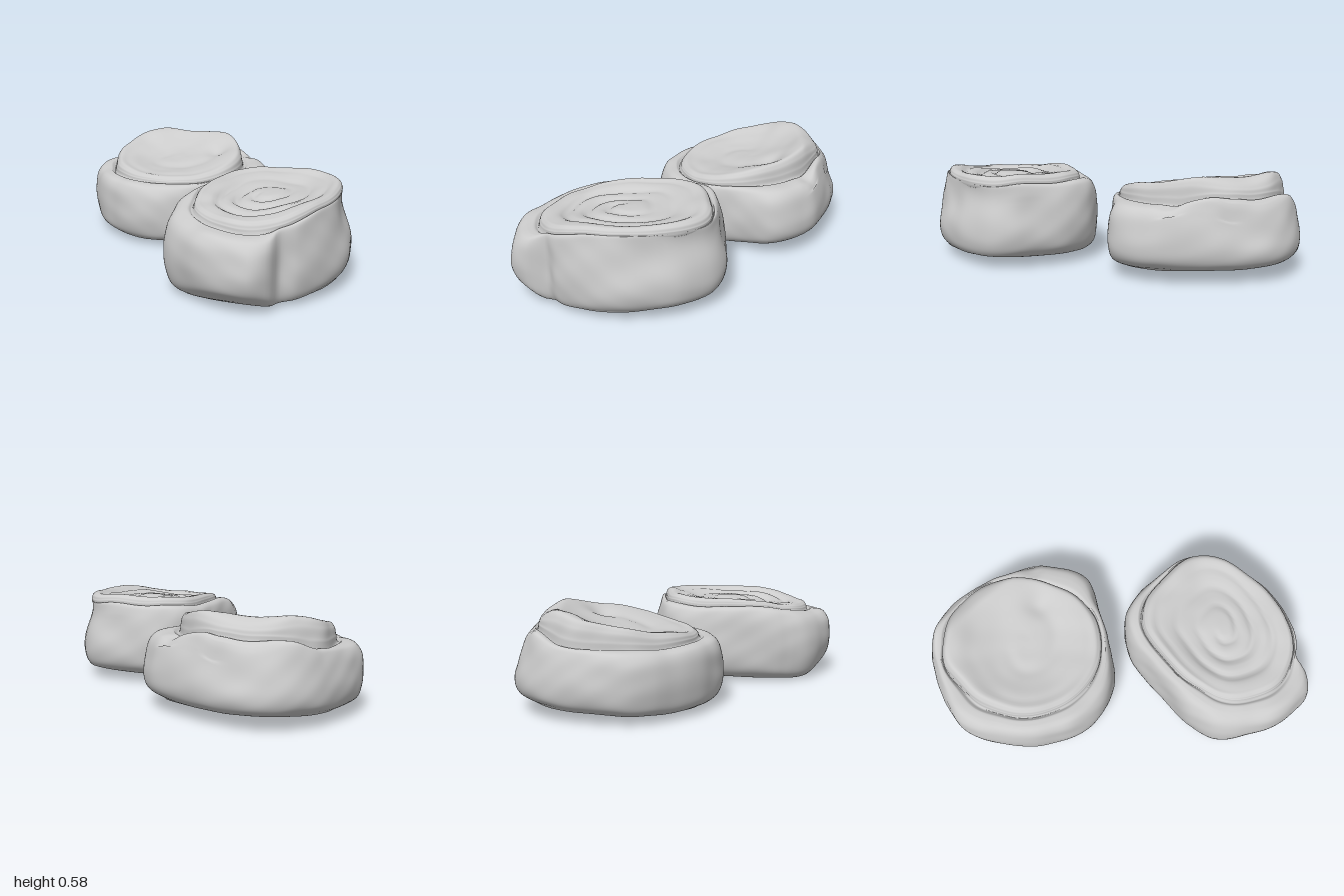
import * as THREE from 'three';

const SEGMENTS = 180, RINGS = 140;
const { lerp, smoothstep } = THREE.MathUtils;

// Radius of a closed outline around a centre, sampled at each segment angle
function polarRadii(points, [cx, cz]) {
  const curve = new THREE.CatmullRomCurve3(points.map(([x, z]) => new THREE.Vector3(x - cx, 0, z - cz)), true, 'centripetal');
  const samples = curve.getPoints(1500).map(p => [Math.atan2(p.z, p.x), Math.hypot(p.x, p.z)]);
  return Array.from({ length: SEGMENTS }, (_, i) => {
    const a = (i / SEGMENTS) * Math.PI * 2;
    let best = 1e9, radius = 0;
    for (const [b, r] of samples) {
      const d = 1 - Math.cos(a - b);
      if (d < best) { best = d; radius = r; }
    }
    return radius;
  });
}

// Cross-section from the middle of the base, up the wall, to the middle of the top:
// [ring: 0 middle, 1 core edge, 2 outer edge], [level: 0 base, 1 rim, 2 core top], [height offset]
const section = new THREE.CatmullRomCurve3([
  [0, 0, 0.03], [0.5, 0, 0.027], [0.85, 0, 0.018], [1.1, 0, 0.003], [1.4, 0, 0], [1.7, 0.05, 0],
  [1.9, 0.16, 0], [2, 0.4, 0], [1.98, 0.62, 0], [1.9, 0.82, 0], [1.72, 0.95, 0], [1.45, 1, 0], [1.2, 1, 0],
  [1.05, 0.98, -0.008], [1.0, 1.25, 0], [0.97, 1.7, 0], [0.9, 1.96, 0], [0.8, 2, -0.01],
  [0.5, 2, -0.035], [0, 2, -0.04],
].map(p => new THREE.Vector3(...p)), false, 'centripetal').getSpacedPoints(RINGS);

// Soft, doughy unevenness
const lumps = (x, y, z) =>
  Math.sin(7 * x + 3 * y + 1) * Math.sin(6 * z - 4 * y) * 0.5 +
  Math.sin(15 * x - 9 * y + 2 * z) * Math.sin(13 * z + 11 * y + 1) * 0.35 +
  Math.sin(27 * x + 21 * y) * Math.sin(25 * z - 23 * y + 2) * 0.1;

function makeRoll(name, { centre, outer, core, levels, taper, turns, ridge, dents }, material) {
  const outerR = polarRadii(outer, centre), coreR = polarRadii(core, centre);
  const positions = [], indices = [];
  section.forEach(({ x: ring, y: level, z: offset }, j) => {
    for (let i = 0; i < SEGMENTS; i++) {
      const a = (i / SEGMENTS) * Math.PI * 2;
      // The core is narrower underneath; the wall leans in towards the rim on the tapered sides
      const inner = coreR[i] * lerp(0.9, 1, Math.min(1, level));
      const lean = Math.max(0, taper[0] * Math.cos(a) + taper[1] * Math.sin(a)) * smoothstep(level, 0.2, 1);
      let r = ring <= 1 ? ring * inner : lerp(inner, Math.max(inner, outerR[i] - lean), ring - 1);
      const px = centre[0] + Math.cos(a) * r, pz = centre[1] + Math.sin(a) * r;
      const [base, rim, top] = levels(px, pz);
      let y = offset + (level <= 1 ? lerp(base, rim, level) : lerp(rim, top, level - 1));
      // Spiral crease on the core, above and below
      if (ring < 0.95) {
        const fade = smoothstep(ring, 0.05, 0.25) * (1 - smoothstep(ring, 0.8, 0.95));
        const crease = Math.pow(Math.abs(Math.cos(Math.PI * turns * ring + a / 2 + 0.3 * Math.sin(2 * a))), 5);
        y += (level > 1 ? -ridge * (0.65 + 0.35 * Math.sin(a)) : 0.02) * crease * fade;
      }
      // Dents and bulges on the upper side
      if (level > 0.8) for (const [dx, dz, size, amount] of dents)
        y += amount * Math.exp(-((px - dx) ** 2 + (pz - dz) ** 2) / (size * size));
      const n = lumps(px, y, pz);
      if (level > 0.02) y += n * 0.012;
      r += n * 0.015 * Math.min(1, ring) * (level < 1 ? 1 : 0.6);
      positions.push(centre[0] + Math.cos(a) * r, y, centre[1] + Math.sin(a) * r);
      if (j < RINGS) {
        const p = j * SEGMENTS + i, q = j * SEGMENTS + (i + 1) % SEGMENTS;
        indices.push(p, p + SEGMENTS, q, q, p + SEGMENTS, q + SEGMENTS);
      }
    }
  });
  const geometry = new THREE.BufferGeometry();
  geometry.setAttribute('position', new THREE.Float32BufferAttribute(positions, 3));
  geometry.setIndex(indices);
  geometry.computeVertexNormals();
  const mesh = new THREE.Mesh(geometry, material);
  mesh.name = name;
  return mesh;
}

// Wide roll at the back, tilted up towards the rear
const backRoll = {
  centre: [-0.4, -0.39],
  outer: [[-0.55, -0.99], [-0.4, -0.98], [-0.1, -0.88], [0.1, -0.76], [0.2, -0.63], [0.23, -0.5], [0.15, -0.33],
    [0.05, -0.12], [-0.08, 0.07], [-0.22, 0.16], [-0.38, 0.19], [-0.55, 0.15], [-0.75, 0.03], [-0.9, -0.13],
    [-0.99, -0.32], [-0.97, -0.48], [-0.91, -0.65], [-0.83, -0.82], [-0.7, -0.94]],
  core: [[-0.83, -0.64], [-0.74, -0.74], [-0.6, -0.83], [-0.4, -0.85], [-0.2, -0.78], [-0.05, -0.63], [0.05, -0.4],
    [0.03, -0.2], [-0.1, -0.03], [-0.3, 0.04], [-0.5, 0.02], [-0.7, -0.1], [-0.82, -0.3], [-0.84, -0.48]],
  levels: (x, z) => [
    0.03 + 0.055 * (0.1 - z),
    0.41 + 0.03 * x - 0.04 * z + 0.05 * smoothstep(-z, 0.7, 0.84) - 0.1 * smoothstep(-z, 0.84, 0.97),
    0.435 - 0.205 * z - 0.07 * smoothstep(-z, 0.72, 0.86),
  ],
  taper: [0, -0.05],
  turns: 2, ridge: 0.009,
  dents: [[-0.68, -0.64, 0.1, 0.02], [-0.16, -0.52, 0.08, -0.035], [-0.28, -0.72, 0.14, 0.02],
    [-0.02, -0.76, 0.06, -0.025], [-0.3, -0.9, 0.06, -0.025], [-0.45, -0.45, 0.2, -0.015]],
};

// Longer roll at the front, with the loose end of the outer wrap at its front left
const frontRoll = {
  centre: [0.54, 0.36],
  outer: [[0.55, -0.21], [0.7, -0.2], [0.82, -0.15], [0.93, 0.02], [0.98, 0.2], [0.985, 0.38], [0.93, 0.58],
    [0.85, 0.72], [0.77, 0.78], [0.76, 0.9], [0.69, 0.98], [0.58, 0.99], [0.43, 0.97], [0.25, 0.89], [0.1, 0.77],
    [0.05, 0.6], [0.06, 0.4], [0.06, 0.2], [0.08, 0.03], [0.18, -0.12], [0.35, -0.2]],
  core: [[0.55, -0.12], [0.75, -0.1], [0.86, 0.02], [0.91, 0.25], [0.9, 0.45], [0.83, 0.65], [0.74, 0.76],
    [0.58, 0.83], [0.42, 0.8], [0.26, 0.7], [0.17, 0.5], [0.16, 0.25], [0.2, 0.03], [0.34, -0.09]],
  levels: (x, z) => [
    0.04 * x + 0.055 * (0.8 - z) + 0.07 * smoothstep(z, 0.76, 0.98),
    0.5 - 0.08 * smoothstep(z, 0.5, 0.9) - 0.02 * (1 - smoothstep(x, 0.05, 0.3)),
    0.545 + 0.02 * (x - 0.5) - 0.04 * z - 0.04 * smoothstep(z, 0.5, 0.85),
  ],
  taper: [0.06, -0.04],
  turns: 4, ridge: 0.02,
  dents: [[0.55, 0.3, 0.15, 0.015], [0.25, 0.6, 0.08, -0.015], [0.6, -0.08, 0.1, 0.01]],
};

export function createModel() {
  const group = new THREE.Group();
  group.name = 'spiralRolls';
  const dough = new THREE.MeshStandardMaterial({ color: 0xcccccc });
  group.add(makeRoll('backRoll', backRoll, dough), makeRoll('frontRoll', frontRoll, dough));
  return group;
}
